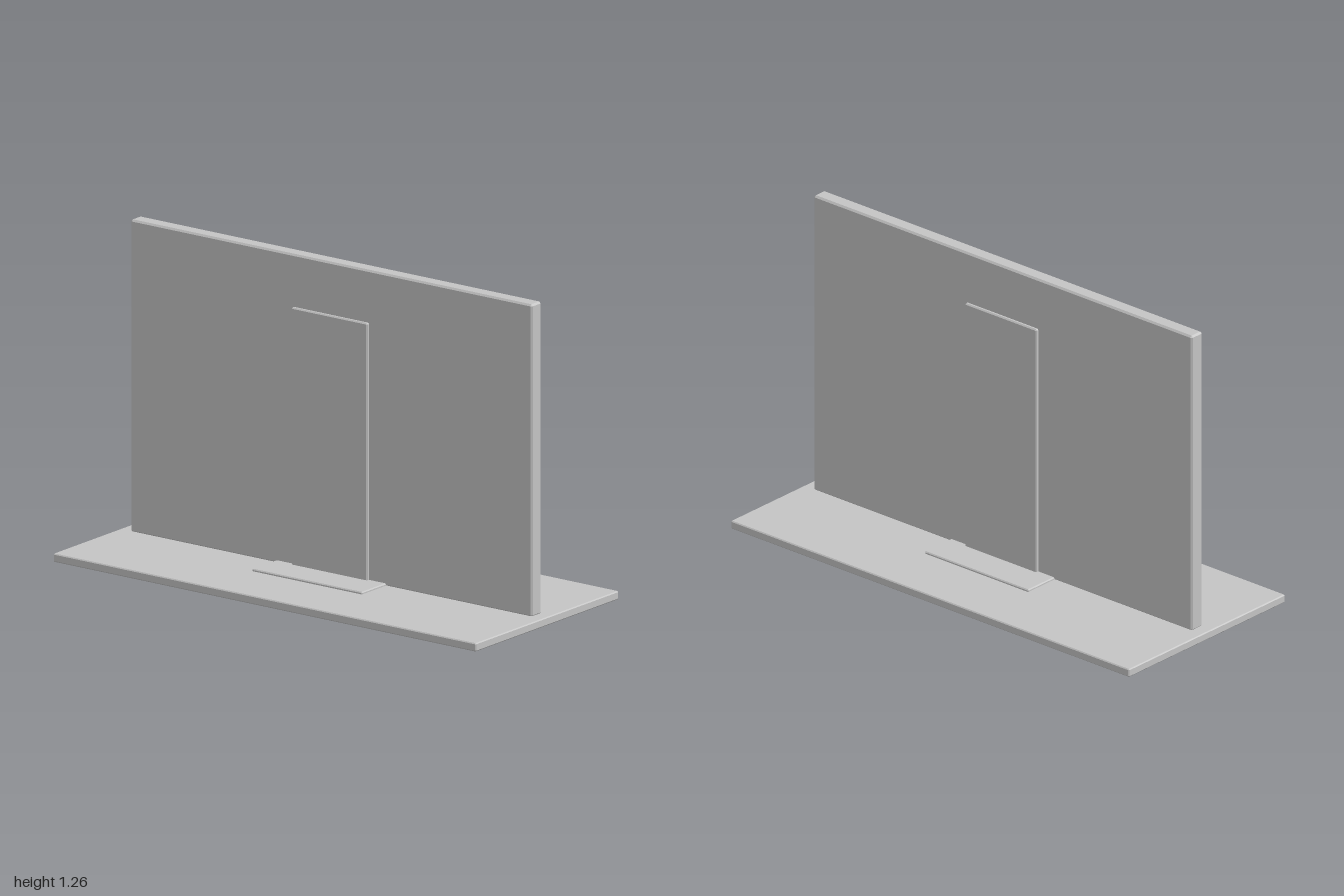
import * as THREE from 'three';
import { ConvexGeometry } from 'three/addons/geometries/ConvexGeometry.js';

// Box between y0 and y1, centred on x and z, with every edge chamfered by c
function chamferBox(width, y0, y1, depth, c) {
  const half = [width / 2, (y1 - y0) / 2, depth / 2];
  const points = [];
  for (const sx of [-1, 1]) for (const sy of [-1, 1]) for (const sz of [-1, 1]) {
    for (let axis = 0; axis < 3; axis++) {
      const [x, y, z] = half.map((h, i) => (i === axis ? h : h - c));
      points.push(new THREE.Vector3(sx * x, sy * y, sz * z));
    }
  }
  return new ConvexGeometry(points).translate(0, (y0 + y1) / 2, 0);
}

export function createModel() {
  const model = new THREE.Group();
  model.name = 'standingPanel';
  const grey = new THREE.MeshStandardMaterial({ color: 0xc4c4c4 });
  grey.name = 'light grey';

  // name, width, bottom, top, depth, chamfer
  const parts = [
    ['base', 0.89, 0, 0.033, 2, 0.004],
    ['footPlate', 0.36, 0.02, 0.042, 0.52, 0.004],
    ['support', 0.086, 0.03, 1.05, 0.36, 0.005],
    ['panel', 0.062, 0.03, 1.256, 1.9, 0.007],
  ];
  for (const [name, ...size] of parts) {
    const mesh = new THREE.Mesh(chamferBox(...size), grey);
    mesh.name = name;
    model.add(mesh);
  }
  return model;
}
